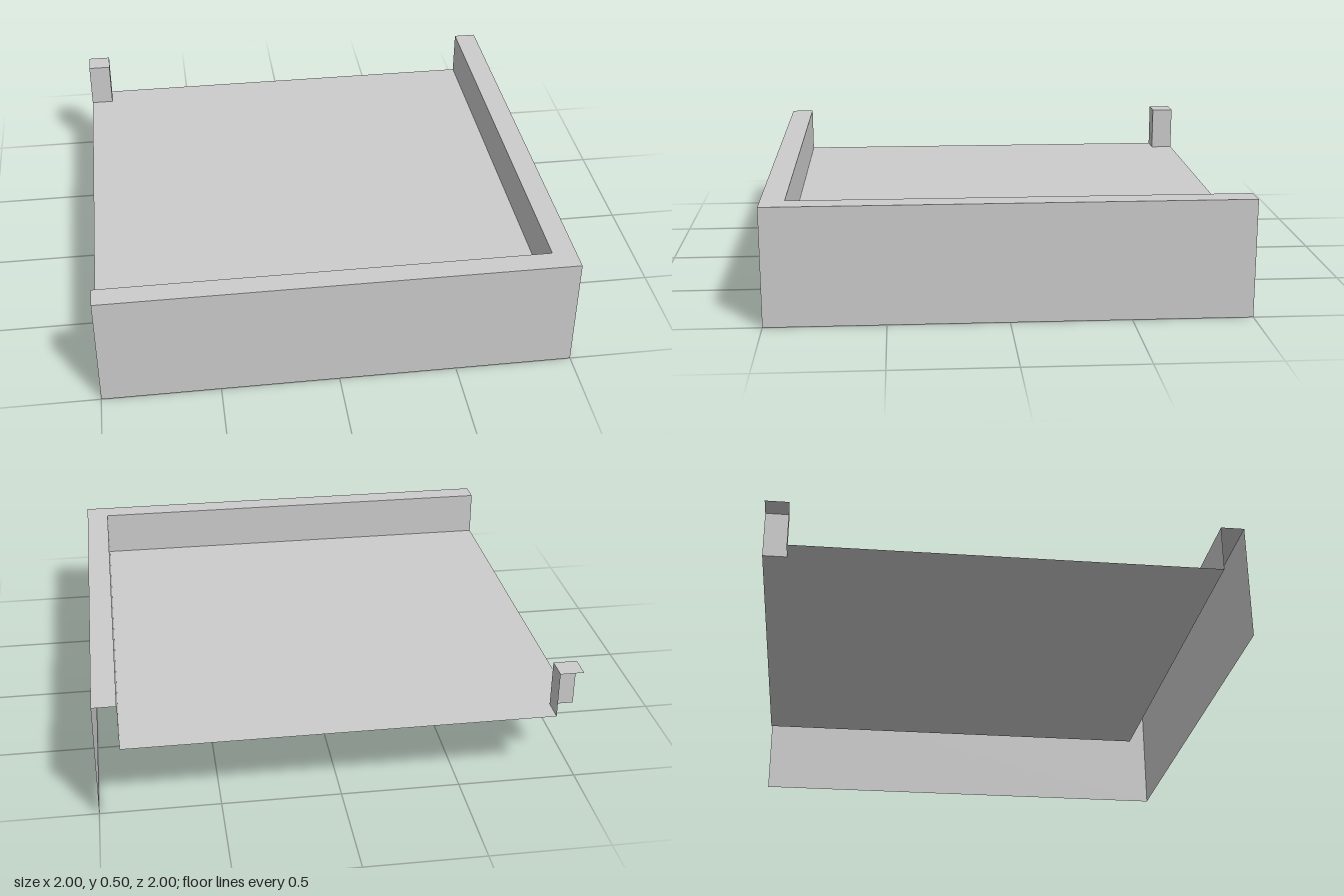
import * as THREE from 'three';

const H = 0.5;       // rim height
const FLOOR = 0.3;   // raised floor height
const T = 0.1;       // wall and post thickness
const IN = 1 - T;

const grey = new THREE.MeshStandardMaterial({ color: 0xcccccc, side: THREE.DoubleSide });
grey.name = 'plain grey';

// Flat-faced quads between successive rows; each row is a plan path of [x, z] at one height
function skin(rows) {
  const pos = [];
  for (let r = 0; r < rows.length - 1; r++) {
    const [a, b] = [rows[r], rows[r + 1]].map(({ path, y }) => path.map(([x, z]) => [x, y, z]));
    for (let i = 0; i < a.length - 1; i++) {
      pos.push(...a[i], ...a[i + 1], ...b[i + 1], ...a[i], ...b[i + 1], ...b[i]);
    }
  }
  const geo = new THREE.BufferGeometry();
  geo.setAttribute('position', new THREE.Float32BufferAttribute(pos, 3));
  geo.computeVertexNormals();
  return geo;
}

// Horizontal sheet from a plan outline of [x, z]
function sheet(outline, y) {
  const shape = new THREE.Shape(outline.map(([x, z]) => new THREE.Vector2(x, -z)));
  return new THREE.ShapeGeometry(shape).rotateX(-Math.PI / 2).translate(0, y, 0);
}

export function createModel() {
  const model = new THREE.Group();
  model.name = 'cornerTray';
  const add = (name, geo) => {
    const mesh = new THREE.Mesh(geo, grey);
    mesh.name = name;
    model.add(mesh);
  };

  // Open-ended L-shaped wall along the front and left: outside, rim, inside
  const outer = [[-1, 1], [1, 1], [1, -1]];
  const inner = [[-1, IN], [IN, IN], [IN, -1]];
  add('cornerWall', skin([
    { path: outer, y: 0 },
    { path: outer, y: H },
    { path: inner, y: H },
    { path: inner, y: FLOOR },
  ]));

  // Raised floor, notched under the post
  const postPath = [[-1, -IN], [-IN, -IN], [-IN, -1]];
  add('floor', sheet([...inner, ...[...postPath].reverse()], FLOOR));

  // Post in the opposite corner: two inner sides and a cap, open on the outside
  add('postSides', skin([{ path: postPath, y: FLOOR }, { path: postPath, y: H }]));
  add('postCap', sheet([...postPath, [-1, -1]], H));

  return model;
}
